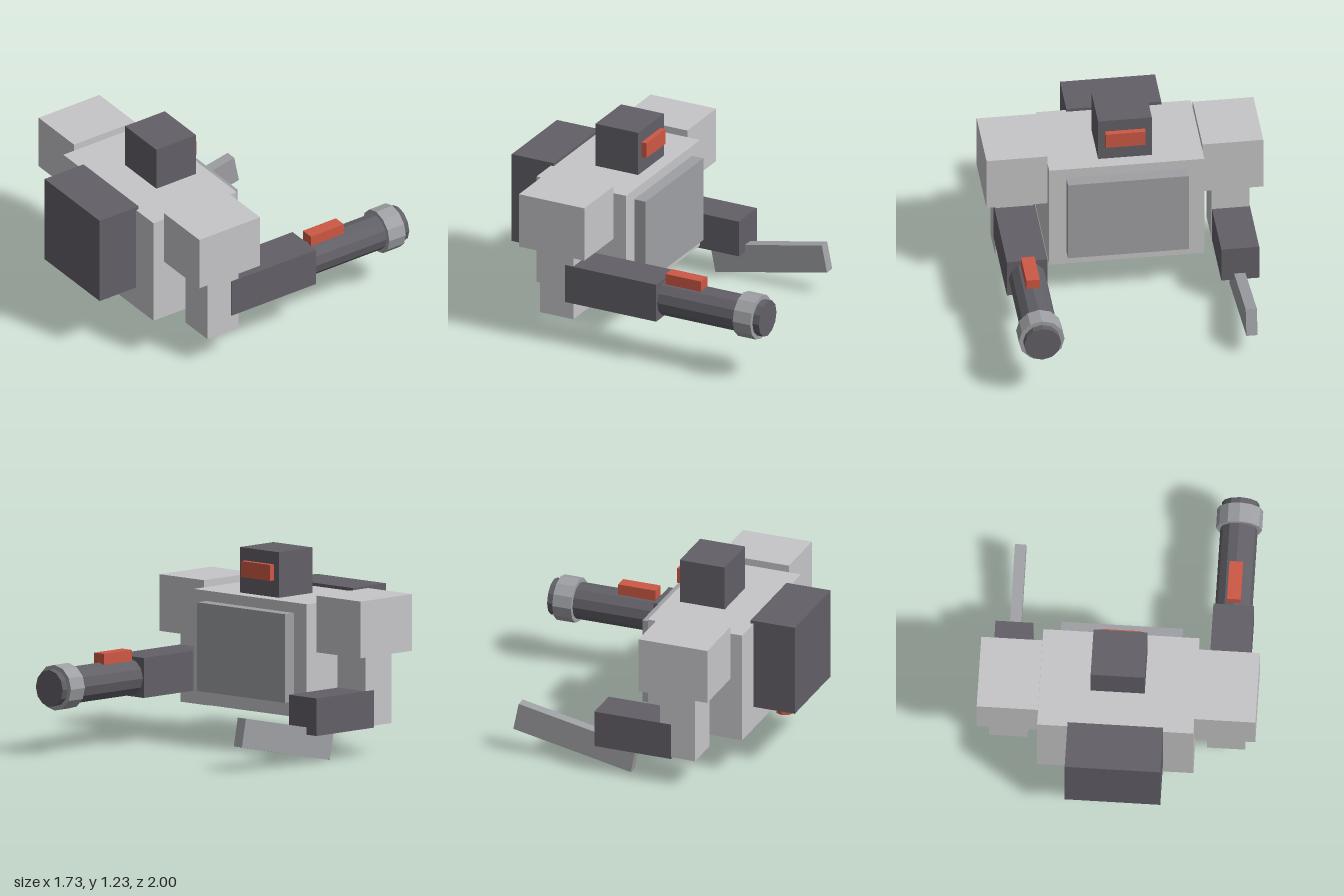
import * as THREE from 'three';

const mat = (name, color) => {
  const m = new THREE.MeshStandardMaterial({ color });
  m.name = name;
  return m;
};

export function createModel() {
  const light = mat('light armour', 0xc6c6c8);
  const dark = mat('dark armour', 0x626067);
  const metal = mat('grey metal', 0x9fa0a4);
  const red = mat('red', 0xcd5845);

  const model = new THREE.Group();
  model.name = 'robot';

  const add = (name, geometry, material) => {
    const mesh = new THREE.Mesh(geometry, material);
    mesh.name = name;
    model.add(mesh);
    return mesh;
  };
  // Box given by its extents along each axis
  const box = (name, material, [x0, x1], [y0, y1], [z0, z1]) => {
    const mesh = add(name, new THREE.BoxGeometry(x1 - x0, y1 - y0, z1 - z0), material);
    mesh.position.set((x0 + x1) / 2, (y0 + y1) / 2, (z0 + z1) / 2);
    return mesh;
  };
  // Faceted cylinder, flat normals per side
  const drum = (r, h, sides) => {
    const g = new THREE.CylinderGeometry(r, r, h, sides).toNonIndexed();
    g.computeVertexNormals();
    return g;
  };

  // Body
  box('torso', light, [-0.485, 0.485], [0.24, 0.955], [0.095, 0.725]);
  box('chestPlate', metal, [-0.378, 0.378], [0.335, 0.89], [0.015, 0.11]);
  box('head', dark, [-0.168, 0.168], [0.95, 1.24], [0.18, 0.48]);
  box('visor', red, [-0.125, 0.125], [1.06, 1.16], [0.145, 0.19]);

  // Shoulders and upper arms
  for (const s of [-1, 1]) {
    const side = s > 0 ? 'left' : 'right';
    const shoulder = box(side + 'Shoulder', light, [0.485, 0.865], [0.645, 1.0], [0.185, 0.645]);
    const arm = box(side + 'Arm', light, [0.557, 0.795], [0.197, 0.66], [0.3, 0.535]);
    shoulder.position.x *= s;
    arm.position.x *= s;
  }

  // Left forearm with cannon
  box('leftForearm', dark, [0.547, 0.8], [0.305, 0.555], [-0.285, 0.355]);
  const cannon = (name, r, z0, z1, material) => {
    const mesh = add(name, drum(r, z1 - z0, 12), material);
    mesh.rotation.x = Math.PI / 2;
    mesh.position.set(0.672, 0.426, (z0 + z1) / 2);
  };
  cannon('cannonBarrel', 0.116, -1, -0.27, dark);
  cannon('muzzleRing', 0.143, -0.955, -0.83, metal);
  box('cannonSight', red, [0.63, 0.715], [0.52, 0.6], [-0.555, -0.305]);

  // Right forearm with blade
  box('rightForearm', dark, [-0.797, -0.56], [0.185, 0.42], [-0.137, 0.375]);
  const blade = add('blade', new THREE.BoxGeometry(0.07, 0.18, 0.8), metal);
  blade.position.set(-0.675, 0.173, -0.304);
  blade.rotation.x = 0.2;

  // Pack with two nozzles
  box('pack', dark, [-0.297, 0.297], [0.387, 0.975], [0.705, 1.0]);
  for (const x of [-0.17, 0.17]) {
    add('nozzleCollar', drum(0.085, 0.05, 8), dark).position.set(x, 0.39, 0.885);
    add('nozzleFlame', drum(0.06, 0.06, 8), red).position.set(x, 0.36, 0.885);
  }

  return model;
}
